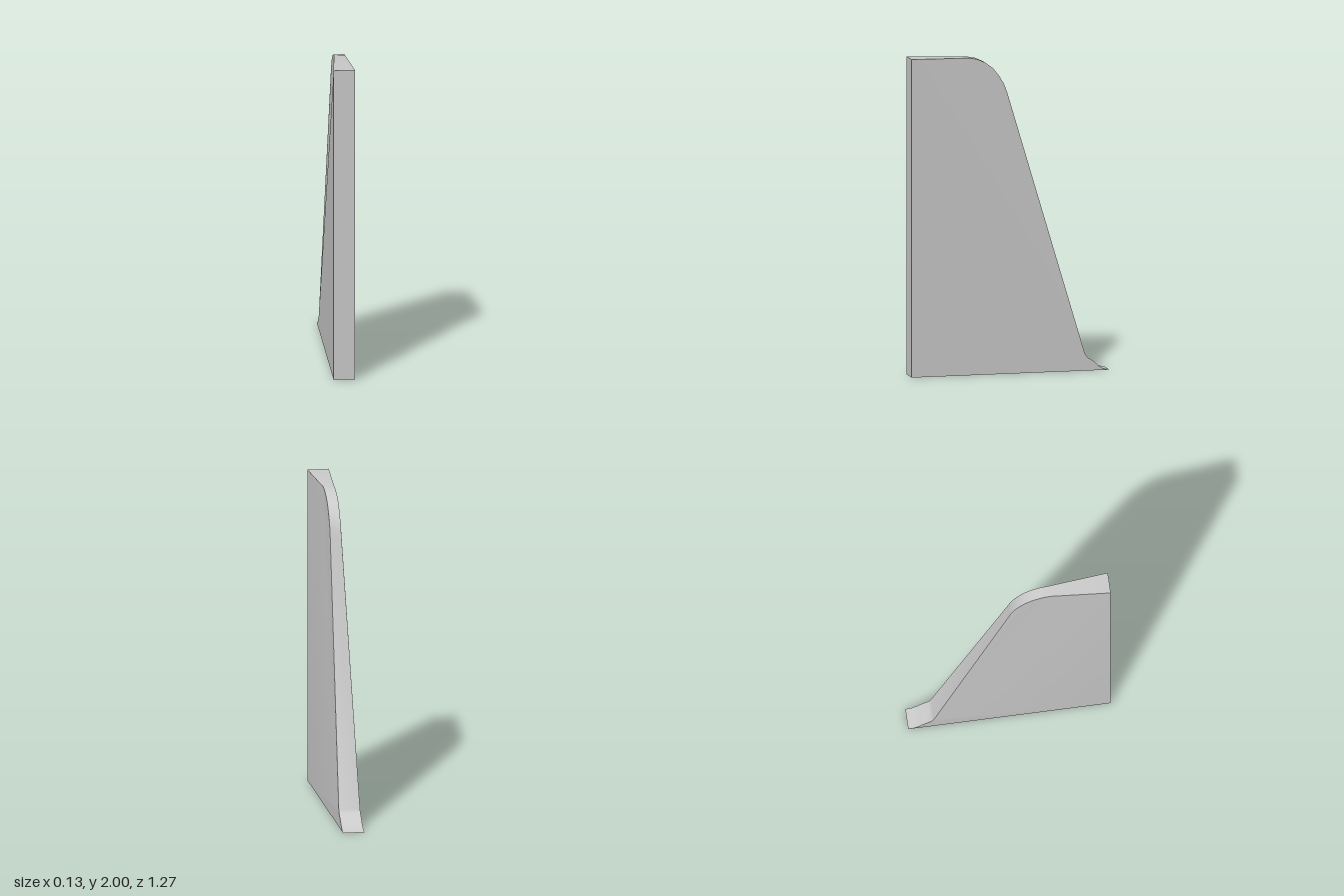
import * as THREE from 'three';
import { toCreasedNormals } from 'three/addons/utils/BufferGeometryUtils.js';

const WIDE = 0.067;
const NARROW = 0.035;

// Outline as [z, y, half width], from the front foot over the top to the rear tip
const outline = [
  [0.635, 0, WIDE],
  [0.635, 2, WIDE],
  // rounded, narrowed shoulder
  ...[[0.26, 1.99], [0.205, 1.98], [0.155, 1.957], [0.105, 1.92], [0.065, 1.87],
    [0.033, 1.815], [0.012, 1.757], [0, 1.715]].map(([z, y]) => [z, y, NARROW]),
  // heel and flared foot
  ...[[-0.475, 0.11], [-0.49, 0.085], [-0.535, 0.055], [-0.56, 0.03],
    [-0.595, 0.008], [-0.635, 0]].map(([z, y]) => [z, y, WIDE]),
];
const HEEL = 10;

function createFinGeometry() {
  const positions = [];
  const point = (i, side) => {
    const [z, y, w] = outline[i];
    positions.push(side * w, y, z);
  };
  // One triangle on the left side and its mirror on the right
  const sideTriangle = (a, b, c) => {
    [a, b, c].forEach((i) => point(i, 1));
    [c, b, a].forEach((i) => point(i, -1));
  };

  // Side faces: a fan from the heel, then the foot
  for (let i = 0; i < HEEL - 1; i++) sideTriangle(HEEL, i + 1, i);
  for (let i = HEEL; i < outline.length - 1; i++) sideTriangle(i + 1, i, 0);

  // Rim all the way round, including the front and the base
  for (let i = 0; i < outline.length; i++) {
    const j = (i + 1) % outline.length;
    point(i, 1); point(j, 1); point(j, -1);
    point(i, 1); point(j, -1); point(i, -1);
  }

  const geometry = new THREE.BufferGeometry();
  geometry.setAttribute('position', new THREE.Float32BufferAttribute(positions, 3));
  return toCreasedNormals(geometry, 0.45);
}

export function createModel() {
  const group = new THREE.Group();
  group.name = 'taperedFin';
  const fin = new THREE.Mesh(
    createFinGeometry(),
    new THREE.MeshStandardMaterial({ color: 0xcccccc }),
  );
  fin.name = 'finBody';
  group.add(fin);
  return group;
}
